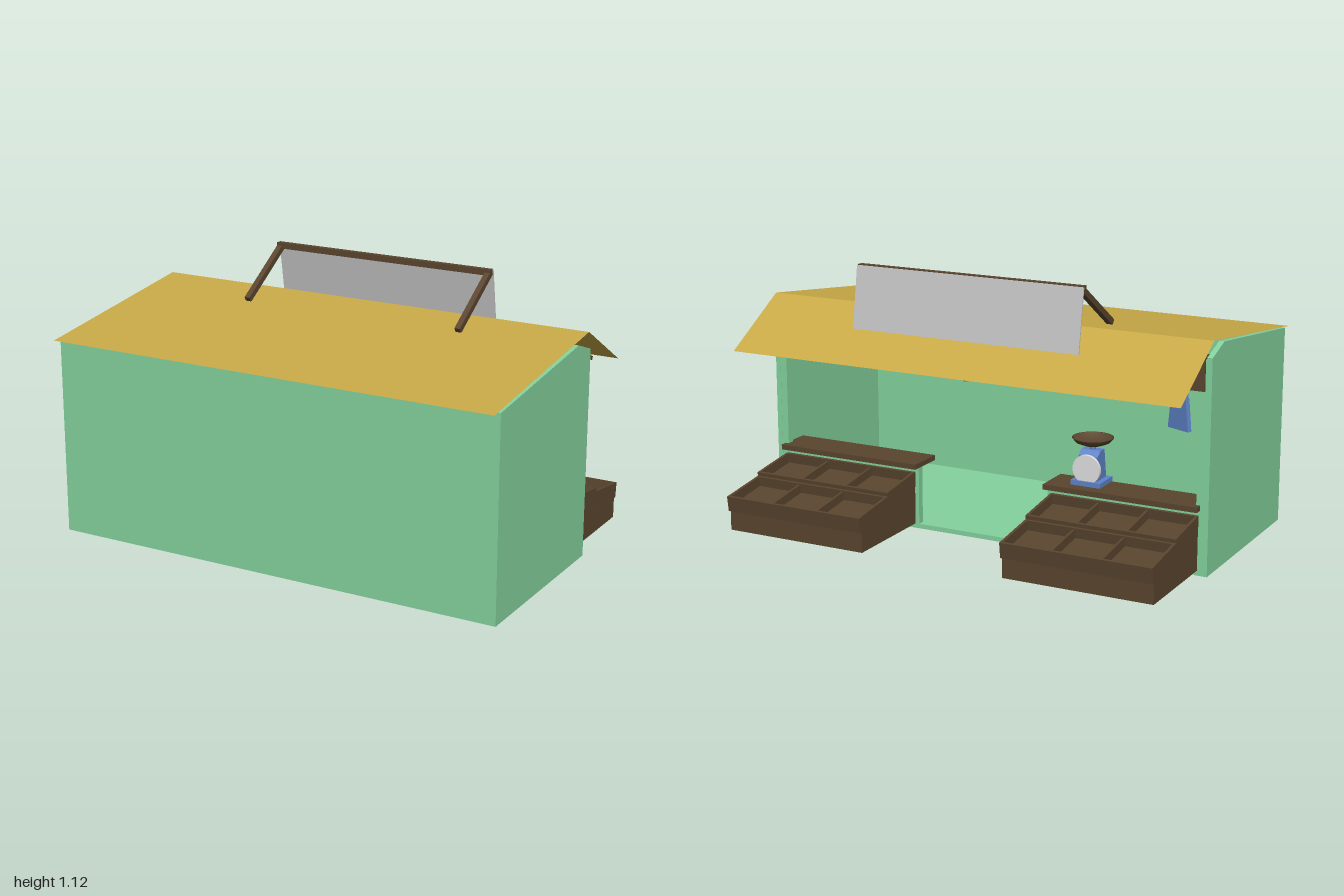
import * as THREE from 'three';

const mat = (name, color, side = THREE.FrontSide) => {
  const m = new THREE.MeshStandardMaterial({ color, side });
  m.name = name;
  return m;
};

export function createModel() {
  const green = mat('green paint', 0x84d29d);
  const yellow = mat('yellow roof', 0xc8a947, THREE.DoubleSide);
  const wood = mat('dark wood', 0x5a452e);
  const grey = mat('sign grey', 0xc6c6c6);
  const blue = mat('blue plastic', 0x5f83c8);
  const white = mat('white glass', 0xe0e0e0);
  const model = new THREE.Group();
  model.name = 'marketStall';

  const add = (name, geo, material, pos = [0, 0, 0], parent = model) => {
    const mesh = new THREE.Mesh(geo, material);
    mesh.name = name;
    mesh.position.set(...pos);
    parent.add(mesh);
    return mesh;
  };
  // box given by its min and max on each axis
  const box = (name, material, [x0, x1], [y0, y1], [z0, z1], parent = model) =>
    add(name, new THREE.BoxGeometry(x1 - x0, y1 - y0, z1 - z0), material,
      [(x0 + x1) / 2, (y0 + y1) / 2, (z0 + z1) / 2], parent);
  // side profile of [z, y] points, extruded along x
  const profile = (name, material, pts, x0, x1, parent = model) => {
    const shape = new THREE.Shape(pts.map(([z, y]) => new THREE.Vector2(-z, y)));
    const geo = new THREE.ExtrudeGeometry(shape, { depth: x1 - x0, bevelEnabled: false });
    geo.rotateY(Math.PI / 2);
    return add(name, geo, material, [x0, 0, 0], parent);
  };
  // bar between two [z, y] points
  const slantedBar = (name, material, a, b, width, thick, x) => {
    const dz = b[0] - a[0], dy = b[1] - a[1];
    const bar = add(name, new THREE.BoxGeometry(width, thick, Math.hypot(dz, dy)), material,
      [x, (a[1] + b[1]) / 2, (a[0] + b[0]) / 2]);
    bar.rotation.x = -Math.atan2(dy, dz);
    return bar;
  };

  // shell: floor, walls and narrow posts at the open back
  box('floor', green, [-0.99, 0.99], [0, 0.02], [-0.2, 0.605]);
  box('frontWall', green, [-0.995, 0.99], [0, 0.835], [0.59, 0.61]);
  const wall = [[0.61, 0], [0.61, 0.838], [-0.085, 0.92], [-0.205, 0.878], [-0.205, 0]];
  profile('leftWall', green, wall, 0.975, 0.997);
  profile('rightWall', green, wall, -0.997, -0.975);
  for (const s of [-1, 1]) {
    box('backPost', green, [s * 0.965 - 0.02, s * 0.965 + 0.02], [0, 0.87], [-0.204, -0.17]);
    box('counterWall', green, [s * 0.64 - 0.34, s * 0.64 + 0.34], [0, 0.265], [-0.2, -0.17]);
  }

  // thin two-slope roof
  const roofPanel = (name, a, b) => {
    const dz = b[0] - a[0], dy = b[1] - a[1];
    const geo = new THREE.PlaneGeometry(1.99, Math.hypot(dz, dy));
    geo.rotateX(-Math.PI / 2);
    add(name, geo, yellow, [-0.005, (a[1] + b[1]) / 2, (a[0] + b[0]) / 2])
      .rotation.x = -Math.atan2(dy, dz);
  };
  roofPanel('frontRoof', [-0.2, 0.946], [0.65, 0.838]);
  roofPanel('backRoof', [-0.52, 0.757], [-0.2, 0.946]);
  box('headerBeam', wood, [-0.97, 0.97], [0.745, 0.875], [-0.212, -0.13]);
  slantedBar('eaveBeam', wood, [-0.415, 0.775], [-0.37, 0.795], 1.88, 0.016, -0.02);

  // hanging sign on its frame
  for (const x of [-0.483, 0.508])
    slantedBar('signArm', wood, [-0.29, 1.112], [-0.01, 0.93], 0.024, 0.025, x);
  box('signTopBar', wood, [-0.495, 0.52], [1.1, 1.125], [-0.293, -0.267]);
  slantedBar('signBoard', grey, [-0.336, 0.86], [-0.295, 1.122], 1.02, 0.006, 0.012);

  // hanging lamp
  const lathe = (pts, seg = 24) =>
    new THREE.LatheGeometry(pts.map(([r, y]) => new THREE.Vector2(r, y)), seg);
  const lamp = new THREE.Group();
  lamp.name = 'lamp';
  lamp.position.set(0.015, 0, -0.303);
  model.add(lamp);
  add('bulb', lathe([[0, 0.692], [0.012, 0.695], [0.022, 0.703], [0.028, 0.715], [0.029, 0.727],
    [0.025, 0.742], [0.017, 0.758], [0.011, 0.772], [0.01, 0.785]]), white, [0, 0, 0], lamp);
  add('socket', new THREE.CylinderGeometry(0.009, 0.012, 0.018, 16), wood, [0, 0.792, 0], lamp);
  add('cord', new THREE.CylinderGeometry(0.004, 0.004, 0.042, 8), wood, [0, 0.82, 0], lamp);

  // one tilted tray with two dividers, rim at local y = 0
  const tray = (parent, y, z) => {
    const g = new THREE.Group();
    g.name = 'tray';
    g.position.set(0, y, z);
    g.rotation.x = -0.133;
    parent.add(g);
    const w = 0.32, d = 0.114, h = -0.066;
    box('trayFloor', wood, [-w, w], [h, -0.042], [-d, d], g);
    for (const s of [-1, 1]) {
      box('traySide', wood, [s * (w - 0.006) - 0.006, s * (w - 0.006) + 0.006], [h, 0], [-d, d], g);
      box('trayEnd', wood, [-w, w], [h, 0], [s * (d - 0.006) - 0.006, s * (d - 0.006) + 0.006], g);
      box('divider', wood, [s * 0.106 - 0.005, s * 0.106 + 0.005], [h, -0.006], [-d, d], g);
    }
  };
  // two produce stands with their counters
  for (const s of [-1, 1]) {
    const stand = new THREE.Group();
    stand.name = s > 0 ? 'leftStand' : 'rightStand';
    stand.position.x = s * 0.636;
    model.add(stand);
    profile('standBody', wood, [[-0.63, 0.02], [-0.63, 0.115], [-0.425, 0.142], [-0.425, 0.16],
      [-0.202, 0.188], [-0.202, 0.02]], -0.319, 0.319, stand);
    tray(stand, 0.185, -0.5375);
    tray(stand, 0.231, -0.315);
    box('counter', wood, [-0.34, 0.325], [0.266, 0.288], [-0.235, -0.07], stand);
    if (s < 0) stand.children.at(-1).position.x = 0.008;
  }

  // weighing scale on the right counter
  const scale = new THREE.Group();
  scale.name = 'scale';
  scale.position.set(-0.46, 0.288, -0.115);
  model.add(scale);
  box('scaleBase', blue, [-0.065, 0.065], [0, 0.02], [-0.07, 0.05], scale);
  profile('scaleBody', blue, [[-0.05, 0.015], [-0.045, 0.12], [-0.02, 0.14], [0.02, 0.14],
    [0.04, 0.015]], -0.042, 0.042, scale);
  const dial = add('dial', new THREE.CylinderGeometry(0.06, 0.06, 0.014, 32), white,
    [0, 0.068, -0.056], scale);
  dial.rotation.x = Math.PI / 2;
  add('scaleStem', new THREE.CylinderGeometry(0.012, 0.012, 0.03, 12), blue, [0, 0.148, 0], scale);
  add('scaleBowl', lathe([[0, 0.155], [0.04, 0.158], [0.07, 0.17], [0.085, 0.188],
    [0.08, 0.188], [0.066, 0.176], [0.038, 0.166], [0, 0.164]], 32), wood, [0, 0, 0], scale);

  // blue bag hanging beside the right wall
  const bag = new THREE.Group();
  bag.name = 'hangingBag';
  bag.position.set(-0.85, 0.57, -0.16);
  bag.rotation.y = -0.4;
  model.add(bag);
  const bagShape = new THREE.Shape([[-0.055, 0], [0.055, 0], [0.04, 0.13], [-0.04, 0.13]]
    .map(p => new THREE.Vector2(...p)));
  add('bagBody', new THREE.ExtrudeGeometry(bagShape, { depth: 0.02, bevelEnabled: false }),
    blue, [0, 0, -0.01], bag);
  for (const x of [-0.033, 0.033])
    box('bagHandle', blue, [x - 0.007, x + 0.007], [0.12, 0.18], [-0.004, 0.004], bag);

  return model;
}
